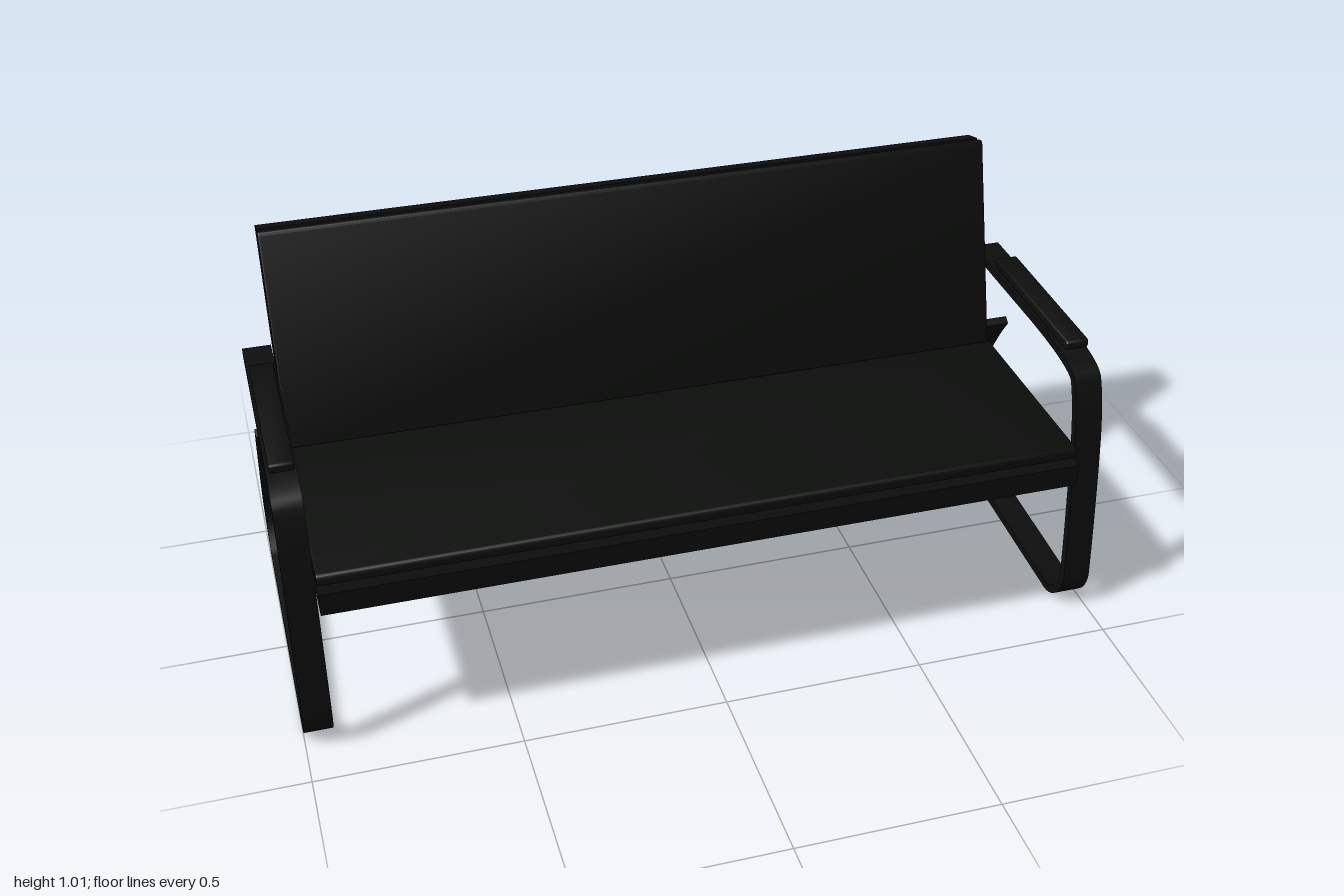
import * as THREE from 'three';
import { toCreasedNormals } from 'three/addons/utils/BufferGeometryUtils.js';

const V = (z, y) => new THREE.Vector2(z, y);

// Extrude a (z, y) outline sideways from x0 to x1
function sideExtrude(shape, x0, x1, bevel = 0) {
  const geo = new THREE.ExtrudeGeometry(shape, {
    depth: x1 - x0 - 2 * bevel, curveSegments: 6,
    bevelEnabled: bevel > 0, bevelSize: bevel, bevelThickness: bevel, bevelOffset: -bevel, bevelSegments: 3,
  });
  geo.rotateY(-Math.PI / 2);
  geo.translate(x1 - bevel, 0, 0);
  return toCreasedNormals(geo, 0.6);
}

// Rounded slab outline running from a to b (centre line) with thickness t
function slab(a, b, t, r) {
  const d = b.clone().sub(a).normalize();
  const n = V(-d.y, d.x);
  const len = a.distanceTo(b);
  const p = (u, v) => a.clone().addScaledVector(d, u).addScaledVector(n, v);
  const h = t / 2;
  const s = new THREE.Shape();
  const to = (u, v) => { const q = p(u, v); s.lineTo(q.x, q.y); };
  const turn = (cu, cv, u, v) => { const c = p(cu, cv), q = p(u, v); s.quadraticCurveTo(c.x, c.y, q.x, q.y); };
  const start = p(r, -h);
  s.moveTo(start.x, start.y);
  to(len - r, -h); turn(len, -h, len, -h + r);
  to(len, h - r); turn(len, h, len - r, h);
  to(r, h); turn(0, h, 0, h - r);
  to(0, -h + r); turn(0, -h, r, -h);
  return s;
}

// Bent flat bar: offset the centre line to both sides
function bandShape(t) {
  const path = new THREE.Path();
  path.moveTo(-0.31, 0.684);
  path.lineTo(0.0, 0.682);
  path.bezierCurveTo(0.19, 0.682, 0.285, 0.668, 0.303, 0.645);
  path.bezierCurveTo(0.318, 0.62, 0.335, 0.56, 0.345, 0.49);
  path.bezierCurveTo(0.36, 0.38, 0.375, 0.22, 0.383, 0.1);
  path.bezierCurveTo(0.383, 0.055, 0.338, 0.012, 0.303, 0.012);
  path.lineTo(-0.308, 0.05);
  path.bezierCurveTo(-0.34, 0.052, -0.395, 0.105, -0.395, 0.16);
  path.bezierCurveTo(-0.395, 0.2, -0.29, 0.39, -0.235, 0.475);
  path.lineTo(-0.208, 0.512);
  const pts = path.getPoints(10);
  const left = [], right = [];
  pts.forEach((p, i) => {
    const d = pts[Math.min(i + 1, pts.length - 1)].clone().sub(pts[Math.max(i - 1, 0)]).normalize();
    const n = V(-d.y, d.x).multiplyScalar(t / 2);
    left.push(p.clone().add(n));
    right.push(p.clone().sub(n));
  });
  return new THREE.Shape([...left, ...right.reverse()]);
}

export function createModel() {
  const group = new THREE.Group();
  group.name = 'bench';
  const frameMat = new THREE.MeshStandardMaterial({ color: 0x0d0d0d });
  frameMat.name = 'black frame';
  const padMat = new THREE.MeshStandardMaterial({ color: 0x0c0e0c });
  padMat.name = 'black upholstery';
  const add = (name, geo, mat) => {
    const mesh = new THREE.Mesh(geo, mat);
    mesh.name = name;
    group.add(mesh);
  };
  const X0 = -0.928, X1 = 0.92;

  // Mitred seat base and backrest panel
  add('seatBase', sideExtrude(new THREE.Shape(
    [V(0.407, 0.404), V(0.407, 0.462), V(-0.174, 0.456), V(-0.209, 0.402)]), X0, X1), frameMat);
  add('backPanel', sideExtrude(new THREE.Shape(
    [V(-0.177, 0.456), V(-0.212, 0.402), V(-0.386, 0.985), V(-0.332, 1.001)]), X0, X1), frameMat);

  // Cushions
  add('seatCushion', sideExtrude(slab(V(-0.144, 0.484), V(0.39, 0.485), 0.03, 0.01), X0, X1, 0.004), padMat);
  add('backCushion', sideExtrude(slab(V(-0.157, 0.47), V(-0.311, 1.006), 0.028, 0.01), X0, X1, 0.004), padMat);

  // Bent side frames with arm pads
  for (const [side, s] of [['left', 1], ['right', -1]]) {
    const span = (a, b) => (s > 0 ? [a, b] : [-b, -a]);
    add(side + 'SideFrame', sideExtrude(bandShape(0.021), ...span(0.93, 1)), frameMat);
    add(side + 'ArmPad', sideExtrude(slab(V(-0.186, 0.71), V(0.245, 0.703), 0.024, 0.009), ...span(0.935, 0.993), 0.004), padMat);
  }
  return group;
}
